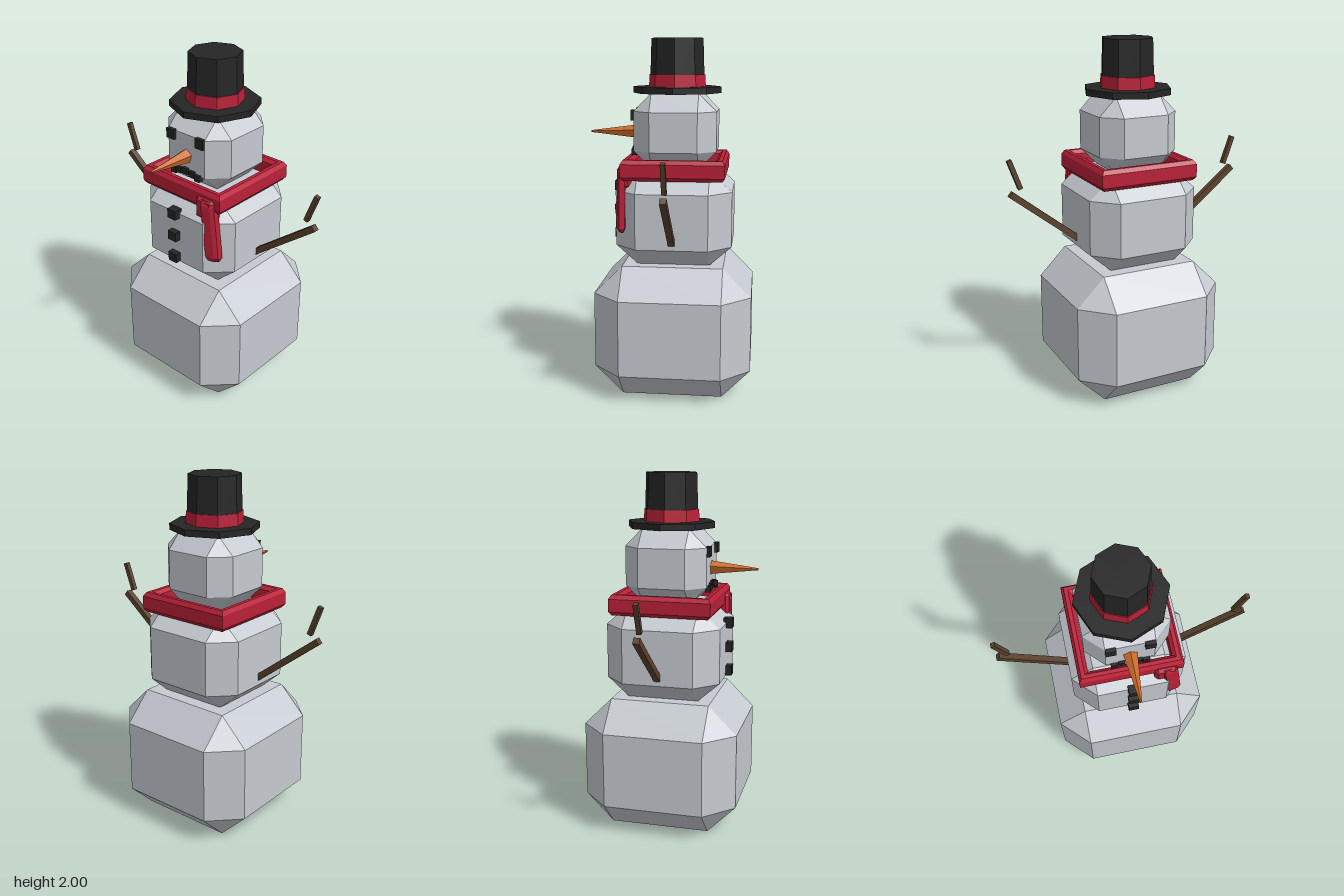
import * as THREE from 'three';
import { ConvexGeometry } from 'three/addons/geometries/ConvexGeometry.js';

const CZ = -0.027; // z of the body axis

const mat = (name, color) => {
  const m = new THREE.MeshStandardMaterial({ color, flatShading: true });
  m.name = name;
  return m;
};

// Box with all edges chamfered; the corners become triangles
function chamferBox(w, h, d, cx, cy = cx) {
  const pts = [];
  const x = w / 2, y = h / 2, z = d / 2;
  for (const i of [-1, 1]) for (const j of [-1, 1]) for (const k of [-1, 1]) {
    pts.push(new THREE.Vector3(i * x, j * (y - cy), k * (z - cx)));
    pts.push(new THREE.Vector3(i * (x - cx), j * y, k * (z - cx)));
    pts.push(new THREE.Vector3(i * (x - cx), j * (y - cy), k * z));
  }
  return new ConvexGeometry(pts);
}

export function createModel() {
  const root = new THREE.Group();
  root.name = 'snowman';
  const snow = mat('snow', 0xc6cbd1);
  const red = mat('red cloth', 0xbb2038);
  const black = mat('black', 0x252525);
  const orange = mat('carrot orange', 0xcc6a2a);
  const brown = mat('twig brown', 0x5c432f);

  const add = (name, geo, material, x = 0, y = 0, z = 0, parent = root) => {
    const m = new THREE.Mesh(geo, material);
    m.name = name;
    m.position.set(x, y, z);
    parent.add(m);
    return m;
  };

  // Three chamfered snow blocks
  add('lowerBody', chamferBox(0.882, 0.75, 0.882, 0.16), snow, 0, 0.375, CZ);
  add('upperBody', chamferBox(0.65, 0.53, 0.65, 0.125, 0.11), snow, 0, 1.01, CZ);
  add('head', chamferBox(0.464, 0.42, 0.464, 0.1), snow, 0, 1.49, CZ);

  // Hat
  const hat = new THREE.Group();
  hat.name = 'hat';
  hat.position.z = CZ;
  root.add(hat);
  add('hatBrim', new THREE.CylinderGeometry(0.25, 0.25, 0.036, 8), black, 0, 1.715, 0, hat);
  add('hatCrown', new THREE.CylinderGeometry(0.146, 0.155, 0.27, 8), black, 0, 1.865, 0, hat);
  add('hatBand', new THREE.CylinderGeometry(0.158, 0.161, 0.067, 8), red, 0, 1.766, 0, hat);

  // Face
  const nose = add('carrotNose', new THREE.CylinderGeometry(0.006, 0.042, 0.28, 5), orange, 0, 1.475, 0.33);
  nose.rotation.set(Math.PI / 2, Math.PI, 0);
  for (const s of [-1, 1]) {
    add('eye', new THREE.BoxGeometry(0.056, 0.056, 0.03), black, s * 0.104, 1.578, 0.207);
  }
  [[-0.087, 1.37], [-0.048, 1.381], [0, 1.388], [0.048, 1.381], [0.087, 1.37]].forEach(([x, y]) =>
    add('mouthCoal', new THREE.BoxGeometry(0.037, 0.037, 0.03), black, x, y, 0.206));

  // Coat buttons
  for (const y of [1.165, 1.026, 0.888]) {
    add('button', new THREE.BoxGeometry(0.06, 0.055, 0.05), black, 0, y, 0.308);
  }

  // Square scarf ring: faceted profile swept around four sides
  const profile = [[0.23, 1.25], [0.25, 1.23], [0.272, 1.23], [0.287, 1.25], [0.287, 1.322],
    [0.272, 1.345], [0.25, 1.345], [0.23, 1.325], [0.23, 1.25]]
    .map(([r, y]) => new THREE.Vector2(r * Math.SQRT2, y));
  add('scarfRing', new THREE.LatheGeometry(profile, 4, Math.PI / 4), red, 0, 0, CZ);

  // Scarf knot and hanging tail
  add('scarfKnot', chamferBox(0.125, 0.13, 0.08, 0.018), red, 0.188, 1.243, 0.242);
  const tailPts = [];
  for (const [y, x0, x1, inset] of [[1.3, 0.165, 0.25, 0.012], [1.27, 0.165, 0.253, 0],
    [0.965, 0.2, 0.287, 0], [0.94, 0.21, 0.278, 0.012]]) {
    for (const [x, z] of [[x0, 0.275], [x0 + 0.015, 0.293], [x1 - 0.02, 0.283], [x1, 0.268],
      [x1, 0.235], [x0, 0.235]]) {
      tailPts.push(new THREE.Vector3(x, y, z > 0.25 ? z - inset : z + inset));
    }
  }
  add('scarfTail', new ConvexGeometry(tailPts), red);

  // Stick arms with a separate twig above each hand
  const stick = (name, x0, y0, x1, y1, w) => {
    const m = add(name, new THREE.BoxGeometry(w, Math.hypot(x1 - x0, y1 - y0), w), brown,
      (x0 + x1) / 2, (y0 + y1) / 2, CZ);
    m.rotation.z = -Math.atan2(x1 - x0, y1 - y0);
  };
  for (const [s, side] of [[1, 'left'], [-1, 'right']]) {
    stick(side + 'Arm', s * 0.31, 0.892, s * 0.7, 1.2, 0.035);
    stick(side + 'Twig', s * 0.643, 1.225, s * 0.702, 1.387, 0.026);
  }
  return root;
}
